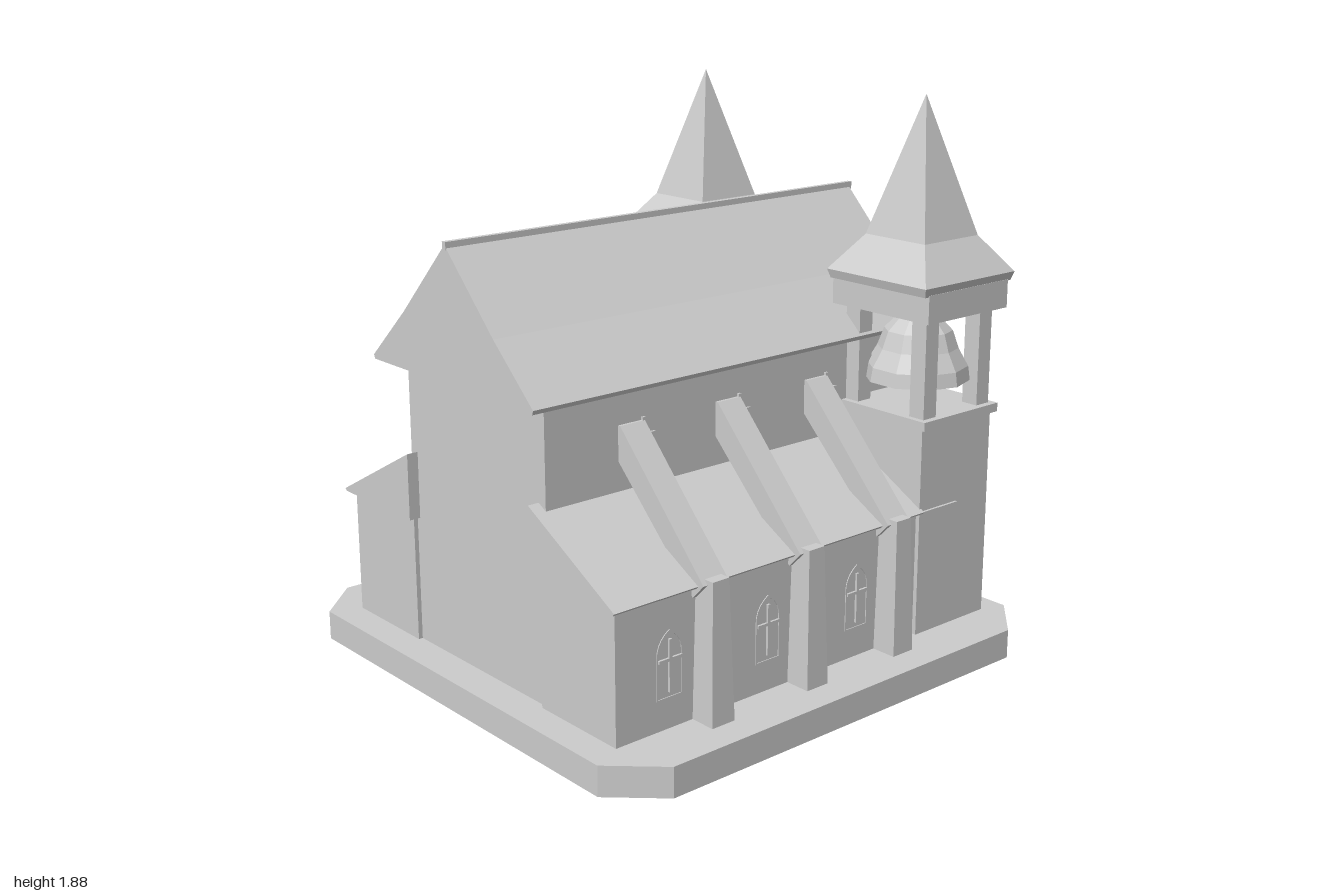
import * as THREE from 'three';

export function createModel() {
  const root = new THREE.Group();
  root.name = 'church';
  const stone = new THREE.MeshStandardMaterial({ color: 0xcccccc, flatShading: true, side: THREE.DoubleSide });
  stone.name = 'pale stone';

  const add = (parent, name, geo, x = 0, y = 0, z = 0) => {
    const m = new THREE.Mesh(geo, stone);
    m.name = name;
    m.position.set(x, y, z);
    parent.add(m);
    return m;
  };
  // Box given by its limits
  const block = (parent, name, x0, x1, y0, y1, z0, z1) =>
    add(parent, name, new THREE.BoxGeometry(Math.abs(x1 - x0), y1 - y0, z1 - z0), (x0 + x1) / 2, (y0 + y1) / 2, (z0 + z1) / 2);
  // Outline in x/y extruded from z0 to z1
  const prism = (parent, name, pts, z0, z1) => {
    const shape = new THREE.Shape(pts.map(p => new THREE.Vector2(p[0], p[1])));
    const geo = new THREE.ExtrudeGeometry(shape, { depth: z1 - z0, bevelEnabled: false });
    return add(parent, name, geo, 0, 0, z0);
  };
  // Mirrored closed outline from its right half
  const both = pts => [...pts, ...pts.filter(p => p[0] > 0).reverse().map(p => [-p[0], p[1]])];
  // Square frustum with half widths
  const frustum = (parent, name, bottom, top, y0, y1, x, z) => {
    const geo = new THREE.CylinderGeometry(top * Math.SQRT2, bottom * Math.SQRT2, y1 - y0, 4, 1);
    geo.rotateY(Math.PI / 4);
    return add(parent, name, geo, x, (y0 + y1) / 2, z);
  };
  // Turned shape from a bottom-to-top profile
  const lathe = (pts, sides) => new THREE.LatheGeometry(pts.map(p => new THREE.Vector2(...p)), sides);

  // Plinth with cut corners, a shell open underneath
  const plinth = new THREE.Group();
  plinth.name = 'plinth';
  root.add(plinth);
  const rim = [[-0.75, 1], [0.75, 1], [0.9, 0.84], [0.9, -0.65], [0.75, -0.81], [-0.75, -0.81], [-0.9, -0.65], [-0.9, 0.84]];
  const lid = new THREE.ShapeGeometry(new THREE.Shape(rim.map(([x, z]) => new THREE.Vector2(x, -z))));
  lid.rotateX(-Math.PI / 2);
  add(plinth, 'plinthTop', lid, 0, 0.1, 0);
  rim.forEach(([x0, z0], i) => {
    const [x1, z1] = rim[(i + 1) % rim.length];
    const wall = new THREE.PlaneGeometry(Math.hypot(x1 - x0, z1 - z0), 0.1);
    add(plinth, 'plinthSide', wall, (x0 + x1) / 2, 0.05, (z0 + z1) / 2).rotation.y = Math.atan2(z0 - z1, x1 - x0);
  });

  // Entrance steps: open underneath, made of risers, treads and cheeks
  for (let i = 0; i < 3; i++) {
    const w = 0.37 - i * 0.015, h = 0.0333, z = -1 + i * 0.067, y = i * h;
    const d = i < 2 ? 0.067 : 0.056;
    const step = new THREE.Group();
    step.name = 'step';
    root.add(step);
    add(step, 'riser', new THREE.PlaneGeometry(2 * w, h), 0, y + h / 2, z).rotation.y = Math.PI;
    add(step, 'tread', new THREE.PlaneGeometry(2 * w, d), 0, y + h, z + d / 2).rotation.x = -Math.PI / 2;
    for (const s of [1, -1]) {
      const len = -0.81 - z;
      add(step, 'cheek', new THREE.PlaneGeometry(len, h), s * w, y + h / 2, z + len / 2).rotation.y = s * Math.PI / 2;
      // Narrow ledge where the next step is set in
      add(step, 'ledge', new THREE.PlaneGeometry(0.015, len - d + 0.001), s * (w - 0.0075), y + h, -0.81 - (len - d) / 2).rotation.x = -Math.PI / 2;
    }
  }

  // Nave, gabled roof with a slight flare, and ridge
  block(root, 'naveWalls', -0.365, 0.365, 0.1, 1.08, -0.717, 0.88);
  prism(root, 'naveRoof', both([[0.36, 1.066], [0.425, 1.066], [0.43, 1.08], [0.24, 1.255], [0, 1.5]]), -0.755, 0.965);
  block(root, 'ridge', -0.009, 0.009, 1.485, 1.51, -0.765, 0.967);

  // Gabled hood over the entrance
  const hood = new THREE.Group();
  hood.name = 'entranceHood';
  root.add(hood);
  prism(hood, 'hoodRoof', [[0.205, 0.58], [0.205, 0.605], [0, 0.77], [-0.205, 0.605], [-0.205, 0.58], [0, 0.75]], -0.787, -0.71);
  prism(hood, 'hoodGable', [[0.2, 0.58], [0, 0.752], [-0.2, 0.58]], -0.785, -0.71);

  // Pointed outline for the window surrounds
  const arch = (Path, w, base, top) => {
    const p = new Path();
    p.moveTo(-w, base);
    p.lineTo(w, base);
    p.lineTo(w, 0.04);
    p.quadraticCurveTo(w, 0.09, 0, top);
    p.quadraticCurveTo(-w, 0.09, -w, 0.04);
    return p;
  };

  // Both sides come from the same measurements, mirrored by the sign
  for (const s of [1, -1]) {
    const X = pts => pts.map(p => [s * p[0], p[1]]);
    const sideBlock = (parent, name, x0, x1, ...rest) => block(parent, name, s * x0, s * x1, ...rest);
    const side = new THREE.Group();
    side.name = s > 0 ? 'leftSide' : 'rightSide';
    root.add(side);

    // Aisle and its lean-to roof
    sideBlock(side, 'aisleWalls', 0.345, 0.705, 0.1, 0.54, -0.4, 0.895);
    prism(side, 'aisleRoof', X([[0.33, 0.53], [0.728, 0.53], [0.735, 0.538], [0.33, 0.757]]), -0.39, 0.92);
    sideBlock(side, 'eaveBoard', 0.68, 0.729, 0.53, 0.536, -0.56, 0.92);

    // Flying buttresses
    for (const z of [0.553, 0.155, -0.24]) {
      const g = new THREE.Group();
      g.name = 'buttress';
      side.add(g);
      // Pier tapering upwards
      const pier = new THREE.BoxGeometry(0.1, 0.46, 0.09);
      const pos = pier.attributes.position;
      for (let i = 0; i < pos.count; i++) {
        if (pos.getY(i) > 0) {
          pos.setZ(i, pos.getZ(i) * 0.73);
          if (pos.getX(i) * s > 0) pos.setX(i, s * 0.036);
        }
      }
      add(g, 'pier', pier, s * 0.745, 0.33, z);
      prism(g, 'flyingArm', X([[0.71, 0.495], [0.758, 0.545], [0.375, 0.95], [0.355, 0.95], [0.355, 0.845]]), z - 0.049, z + 0.049);
    }

    // Aisle windows with crosses, and clerestory crosses
    for (const z of [0.69, 0.29, -0.105]) {
      const w = new THREE.Group();
      w.name = 'window';
      side.add(w);
      const frame = arch(THREE.Shape, 0.05, -0.1, 0.12);
      frame.holes.push(arch(THREE.Path, 0.046, -0.096, 0.113));
      const geo = new THREE.ExtrudeGeometry(frame, { depth: 0.003, bevelEnabled: false, curveSegments: 5 });
      geo.rotateY(s * Math.PI / 2);
      add(w, 'windowFrame', geo, s * 0.705, 0.3, z);
      sideBlock(w, 'crossUpright', 0.705, 0.713, 0.22, 0.39, z - 0.005, z + 0.005);
      sideBlock(w, 'crossBar', 0.705, 0.713, 0.32, 0.33, z - 0.045, z + 0.045);
      sideBlock(w, 'clerestoryUpright', 0.365, 0.374, 0.8, 0.96, z - 0.19, z - 0.178);
      sideBlock(w, 'clerestoryBar', 0.365, 0.374, 0.895, 0.907, z - 0.23, z - 0.138);
    }

    // Bell tower
    const cx = s * 0.538, cz = -0.553;
    const tower = new THREE.Group();
    tower.name = 'bellTower';
    side.add(tower);
    block(tower, 'towerShaft', cx - 0.182, cx + 0.182, 0.1, 0.83, cz - 0.17, cz + 0.17);
    block(tower, 'towerLedge', cx - 0.202, cx + 0.202, 0.82, 0.85, cz - 0.183, cz + 0.183);
    for (const a of [-1, 1]) for (const b of [-1, 1]) {
      const px = cx + a * 0.147, pz = cz + b * 0.132;
      block(tower, 'belfryPost', px - 0.031, px + 0.031, 0.84, 1.19, pz - 0.03, pz + 0.03);
    }
    block(tower, 'belfryCornice', cx - 0.213, cx + 0.213, 1.18, 1.275, cz - 0.194, cz + 0.194);
    frustum(tower, 'spireEave', 0.21, 0.219, 1.27, 1.3, cx, cz);
    frustum(tower, 'spireSkirt', 0.219, 0.13, 1.3, 1.42, cx, cz);
    frustum(tower, 'spire', 0.13, 0.0005, 1.42, 1.88, cx, cz);

    // Wide open bell with a rim band, hanger and clapper
    const bell = lathe([[0.178, 0.932], [0.17, 0.98], [0.136, 1.04], [0.115, 1.1], [0.066, 1.15], [0, 1.152]], 10);
    bell.rotateY(Math.PI / 10);
    add(tower, 'bell', bell, cx, 0, cz);
    add(tower, 'bellHanger', new THREE.CylinderGeometry(0.033, 0.033, 0.04, 8), cx, 1.165, cz);
    add(tower, 'clapperRod', new THREE.CylinderGeometry(0.012, 0.012, 0.21, 6), cx, 1.045, cz);
    add(tower, 'clapper', new THREE.CylinderGeometry(0.03, 0.022, 0.06, 8), cx, 0.922, cz);

    // Small wall ornaments beside the entrance
    sideBlock(side, 'wallBar', 0.25, 0.355, 0.612, 0.624, -0.725, -0.715);
    prism(side, 'wallDiamond', X([[0.277, 0.54], [0.289, 0.57], [0.277, 0.6], [0.265, 0.57]]), -0.722, -0.715);

    // Planter at the steps
    const pot = lathe([[0, 0.02], [0.036, 0.02], [0.055, 0.09], [0.074, 0.098], [0.075, 0.112], [0.048, 0.13], [0, 0.133]], 12);
    add(side, 'planter', pot, s * 0.42, 0, -0.815);
  }
  return root;
}
